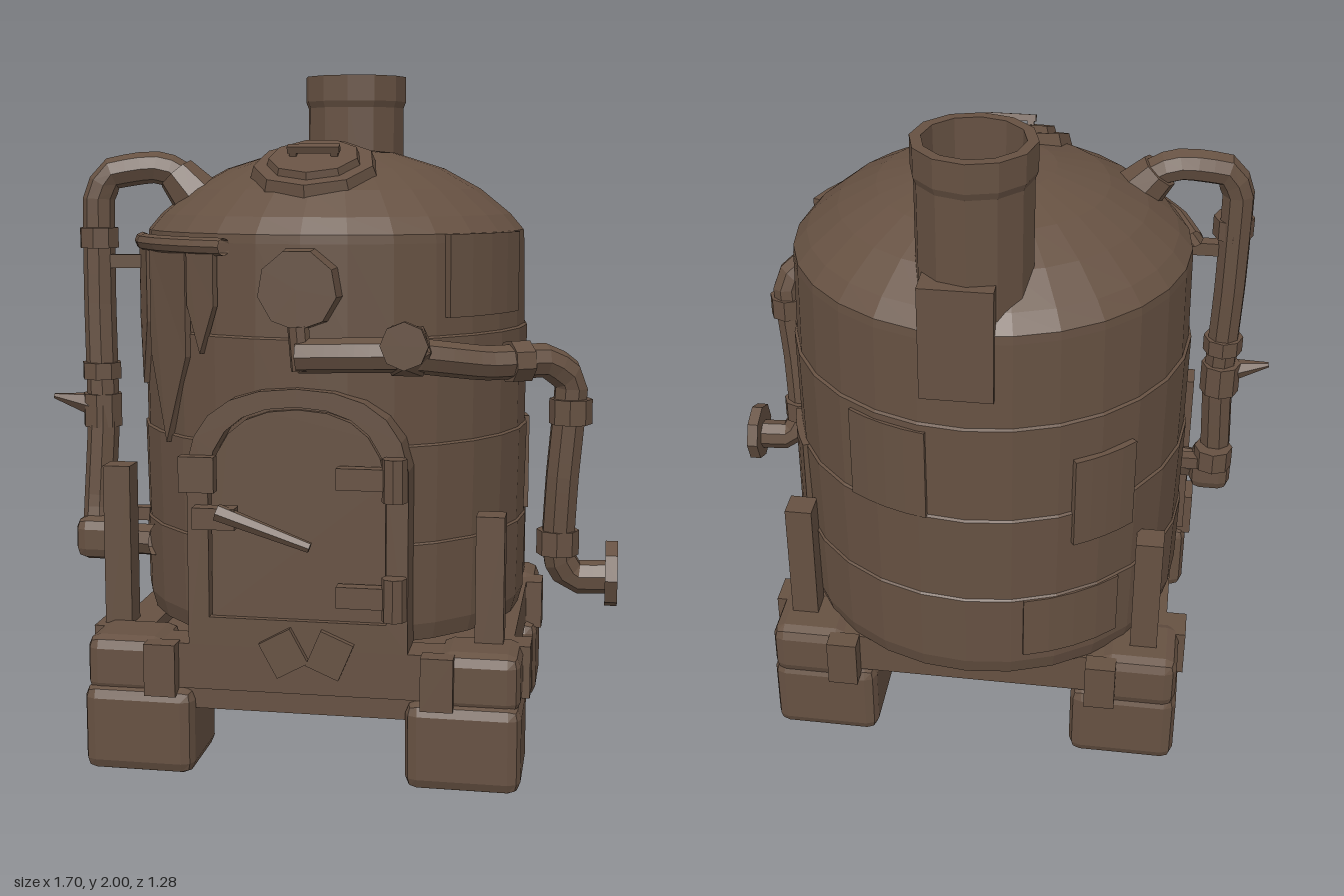
import * as THREE from 'three';
import { RoundedBoxGeometry } from 'three/addons/geometries/RoundedBoxGeometry.js';

const CX = -0.02, CZ = -0.055; // axis of the tank

export function createModel() {
  const root = new THREE.Group();
  root.name = 'boiler';
  const iron = new THREE.MeshStandardMaterial({ color: 0x665142, flatShading: true, side: THREE.DoubleSide });
  iron.name = 'rusty iron';

  const add = (name, geo, x = 0, y = 0, z = 0, rx = 0, ry = 0, rz = 0) => {
    const m = new THREE.Mesh(geo, iron);
    m.name = name;
    m.position.set(x, y, z);
    m.rotation.set(rx, ry, rz);
    root.add(m);
    return m;
  };
  const box = (name, w, h, d, x, y, z, rx, ry, rz) => add(name, new THREE.BoxGeometry(w, h, d), x, y, z, rx, ry, rz);
  const block = (name, w, h, d, x, y, z) => add(name, new RoundedBoxGeometry(w, h, d, 1, 0.035), x, y, z);
  const V = (x, y, z) => new THREE.Vector3(x, y, z);

  // straight round bar between two points
  const bar = (name, a, b, r1, r2 = r1, sides = 8) => {
    const m = add(name, new THREE.CylinderGeometry(r2, r1, a.distanceTo(b), sides));
    m.position.copy(a).lerp(b, 0.5);
    m.quaternion.setFromUnitVectors(V(0, 1, 0), b.clone().sub(a).normalize());
    return m;
  };
  // pipe through a few points
  const pipe = (name, pts, r, segs = 24) => {
    const path = new THREE.CatmullRomCurve3(pts, false, 'catmullrom', 0.15);
    add(name, new THREE.TubeGeometry(path, segs, r, 8, false));
  };
  // plate wrapped round the tank wall, centred at an angle from the front toward +x
  const wrapped = (name, geo, angle, y, r) => {
    const p = geo.attributes.position;
    for (let i = 0; i < p.count; i++) {
      const a = angle + p.getX(i) / r, d = r + p.getZ(i);
      p.setXYZ(i, CX + Math.sin(a) * d, y + p.getY(i), CZ + Math.cos(a) * d);
    }
    geo.computeVertexNormals();
    add(name, geo);
  };
  const patch = (angle, y, w, h, r, t = 0.03) =>
    wrapped('wallPatch', new THREE.BoxGeometry(w, h, t, 4, 1, 1), angle, y, r);

  // tank shell of overlapping bands, and dome
  const profile = [
    [0, 0.38], [0.57, 0.38], [0.584, 0.43], [0.589, 0.66], [0.583, 0.665], [0.589, 0.94],
    [0.582, 0.945], [0.585, 1.24], [0.577, 1.245], [0.572, 1.5],
    [0.57, 1.525], [0.53, 1.572], [0.44, 1.645], [0.33, 1.705], [0.18, 1.752], [0, 1.77],
  ].map(([r, y]) => new THREE.Vector2(r, y));
  add('tank', new THREE.LatheGeometry(profile, 28), CX, 0, CZ);

  // riveted wall plates
  patch(1.0, 1.41, 0.31, 0.23, 0.573, 0.045);
  patch(1.9, 0.8, 0.2, 0.29, 0.585);
  patch(2.75, 1.08, 0.24, 0.28, 0.577);
  patch(-2.45, 0.98, 0.2, 0.28, 0.585);
  patch(-2.6, 0.56, 0.3, 0.2, 0.583, 0.02);

  // open chimney
  const flue = [[0.157, 1.55], [0.157, 1.9], [0.165, 1.92], [0.165, 2.0], [0.135, 2.0], [0.13, 1.66], [0, 1.66]]
    .map(([r, y]) => new THREE.Vector2(r, y));
  add('chimney', new THREE.LatheGeometry(flue, 12), -0.025, 0, -0.455);
  box('chimneyBracket', 0.2, 0.33, 0.12, 0, 1.495, -0.575);

  // dome hatch with handle
  const hatch = new THREE.Group();
  hatch.name = 'domeHatch';
  hatch.position.set(-0.03, 1.695, 0.24);
  hatch.rotation.x = 0.38;
  root.add(hatch);
  const disc = add('hatchRim', new THREE.CylinderGeometry(0.175, 0.195, 0.06, 9));
  const lid = add('hatchLid', new THREE.CylinderGeometry(0.13, 0.14, 0.03, 9), 0, 0.035, 0);
  hatch.add(disc, lid);
  for (const s of [-1, 1]) hatch.add(box('handlePost', 0.02, 0.03, 0.02, s * 0.06, 0.055, 0));
  hatch.add(box('handleGrip', 0.15, 0.02, 0.025, 0, 0.07, 0));

  // base: deck, beams, corner blocks, feet and posts
  box('deck', 1.02, 0.1, 0.88, -0.02, 0.295, 0.04);
  box('frontSill', 0.66, 0.06, 0.12, -0.02, 0.22, 0.49);
  box('rearSill', 0.66, 0.06, 0.09, -0.02, 0.22, -0.22);
  for (const [z, w] of [[0.5, 0.95], [-0.46, 0.8]]) box('crossBeam', w, 0.13, 0.12, -0.02, 0.315, z);
  for (const x of [-0.54, 0.51]) box('sideBeam', 0.11, 0.13, 0.8, x, 0.315, 0.03);
  for (const [x, tilt] of [[-0.06, 0.5], [0.07, -0.4]]) box('sillWedge', 0.1, 0.11, 0.06, x, 0.37, 0.55, 0, 0, tilt);
  for (const sx of [-1, 1]) for (const front of [true, false]) {
    const x = sx < 0 ? -0.48 : 0.44, z = front ? 0.45 : -0.39;
    block('foot', 0.32, 0.25, 0.29, x, 0.125, z);
    block('cornerBlock', 0.23, 0.17, 0.21, x + sx * 0.04, 0.305, z + (front ? 0.02 : -0.045));
    box('cornerCap', 0.09, 0.15, 0.06, x - sx * 0.07, 0.31, front ? 0.575 : -0.545);
    box('sideCap', 0.06, 0.15, 0.1, x + sx * 0.145, 0.305, front ? 0.38 : -0.33);
  }
  for (const [x, z, top] of [[0.5, 0.41, 0.75], [0.51, -0.4, 0.77], [-0.59, 0.36, 0.85], [-0.53, -0.42, 0.77]])
    box('post', 0.08, top - 0.26, 0.08, x, (top + 0.26) / 2, z);

  // arched furnace door with frame, hinges and latch
  const arch = (path, w, y0, y1, c) => {
    path.moveTo(-w, y0);
    path.lineTo(w, y0);
    path.lineTo(w, y1 - c);
    path.quadraticCurveTo(w * 0.92, y1, 0, y1);
    path.quadraticCurveTo(-w * 0.92, y1, -w, y1 - c);
    path.lineTo(-w, y0);
    return path;
  };
  const frame = arch(new THREE.Shape(), 0.31, 0.38, 1.11, 0.22);
  frame.holes.push(arch(new THREE.Path(), 0.25, 0.46, 1.06, 0.2));
  const solid = (s, d) => new THREE.ExtrudeGeometry(s, { depth: d, bevelEnabled: false, curveSegments: 5 });
  add('doorFrame', solid(frame, 0.19), -0.025, 0, 0.37);
  add('door', solid(arch(new THREE.Shape(), 0.245, 0.46, 1.05, 0.2), 0.14), -0.025, 0, 0.4);
  for (const y of [0.87, 0.54]) {
    box('hingeStrap', 0.16, 0.06, 0.04, 0.17, y, 0.57);
    bar('hingePin', V(0.25, y - 0.06, 0.58), V(0.25, y + 0.06, 0.58), 0.035);
  }
  box('latchPlate', 0.1, 0.1, 0.04, -0.3, 0.87, 0.575);
  box('latchPlate', 0.12, 0.06, 0.05, -0.25, 0.75, 0.58);
  bar('doorHandle', V(-0.24, 0.77, 0.6), V(0.02, 0.68, 0.6), 0.025, 0.015, 6);

  // gauge on the front
  add('gauge', new THREE.CylinderGeometry(0.11, 0.12, 0.1, 9), -0.02, 1.38, 0.52, Math.PI / 2);

  // rod with hanging pennants
  const pennant = (w, h) => {
    const s = new THREE.Shape();
    s.moveTo(-w / 2, 0);
    s.lineTo(-w / 2, -h * 0.55);
    s.lineTo(0, -h);
    s.lineTo(w / 2, -h * 0.55);
    s.lineTo(w / 2, 0);
    return solid(s, 0.02);
  };
  for (const [a, w, h] of [[-0.79, 0.2, 0.57], [-1.12, 0.12, 0.42], [-0.52, 0.1, 0.3]])
    wrapped('pennant', pennant(w, h), a, 1.49, 0.58);
  const rod = [-1.35, -1.1, -0.85, -0.6, -0.38].map((a) => V(CX + Math.sin(a) * 0.59, 1.49, CZ + Math.cos(a) * 0.59));
  pipe('pennantRod', rod, 0.025, 12);

  // steam pipe looping from the dome down the side
  pipe('steamPipe', [V(-0.4, 1.61, 0.1), V(-0.47, 1.69, 0.1), V(-0.55, 1.71, 0.11), V(-0.67, 1.69, 0.13),
    V(-0.71, 1.62, 0.14), V(-0.71, 1.3, 0.15), V(-0.7, 0.95, 0.17), V(-0.71, 0.7, 0.19), V(-0.7, 0.6, 0.22), V(-0.52, 0.6, 0.25)], 0.048, 36);
  for (const [y, h] of [[1.5, 0.06], [1.1, 0.05], [0.98, 0.1], [0.68, 0.07]])
    add('pipeCollar', new THREE.CylinderGeometry(0.06, 0.06, h, 8), -0.705, y, 0.16);
  bar('domeCollar', V(-0.41, 1.61, 0.1), V(-0.48, 1.69, 0.1), 0.08, 0.06);
  bar('pipeSpigot', V(-0.7, 0.99, 0.17), V(-0.852, 1.02, 0.18), 0.045, 0.008, 6);
  block('elbowBlock', 0.13, 0.13, 0.13, -0.7, 0.6, 0.22);
  for (const y of [1.43, 0.66]) box('pipeBracket', 0.14, 0.04, 0.04, -0.63, y, 0.15);

  // outlet pipe from the gauge to the flanged spout
  bar('gaugeStub', V(-0.02, 1.28, 0.55), V(-0.01, 1.16, 0.55), 0.03);
  pipe('outletPipe', [V(-0.02, 1.2, 0.55), V(0.28, 1.21, 0.57), V(0.48, 1.18, 0.46), V(0.64, 1.18, 0.37),
    V(0.71, 1.12, 0.33), V(0.69, 0.85, 0.32), V(0.68, 0.62, 0.3), V(0.72, 0.55, 0.28), V(0.82, 0.55, 0.27)], 0.048, 36);
  add('valveBody', new THREE.IcosahedronGeometry(0.08, 0), 0.28, 1.22, 0.56);
  bar('valveWheel', V(0.28, 1.24, 0.61), V(0.28, 1.24, 0.635), 0.065);
  bar('pipeCollar', V(0.54, 1.18, 0.42), V(0.59, 1.18, 0.39), 0.06);
  bar('pipeCollar', V(0.71, 1.0, 0.33), V(0.71, 1.07, 0.33), 0.06);
  bar('pipeCollar', V(0.68, 0.62, 0.3), V(0.68, 0.69, 0.3), 0.06);
  bar('spoutFlange', V(0.815, 0.56, 0.27), V(0.85, 0.56, 0.27), 0.095);
  return root;
}
